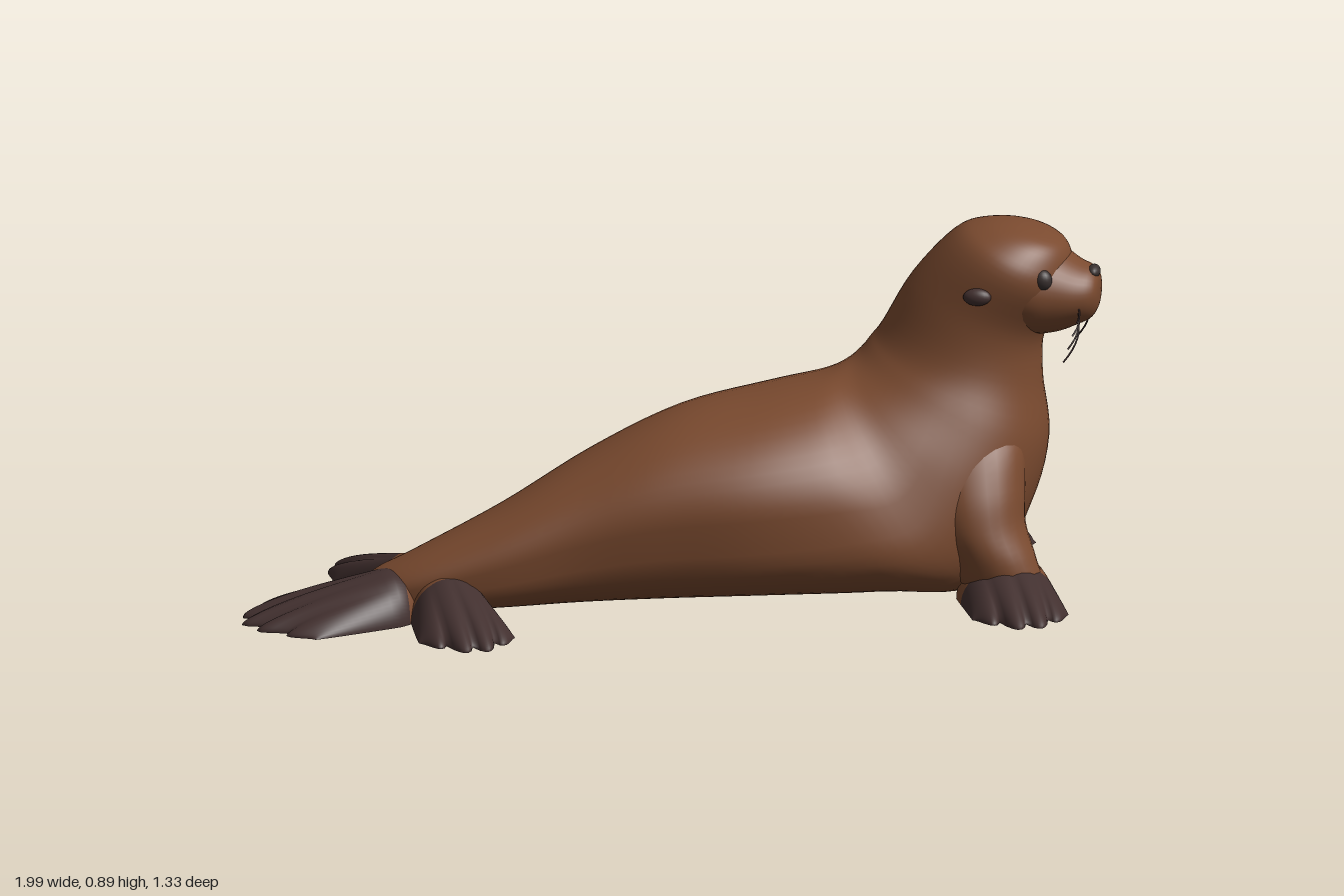
import * as THREE from 'three';

const mat = (name, color) => Object.assign(new THREE.MeshStandardMaterial({ color }), { name });

// Smooth Catmull-Rom blend of section rows
function refine(rows, n) {
  const out = [];
  const at = (i) => rows[Math.max(0, Math.min(rows.length - 1, i))];
  for (let i = 0; i < rows.length - 1; i++) {
    for (let k = 0; k < n; k++) {
      const t = k / n;
      out.push(rows[i].map((b, c) => {
        const a = at(i - 1)[c], d = at(i + 1)[c], e = at(i + 2)[c];
        return b + 0.5 * t * (d - a + t * (2 * a - 5 * b + 4 * d - e + t * (3 * (b - d) + e - a)));
      }));
    }
  }
  out.push(rows[rows.length - 1]);
  return out;
}

// Closed skin over rings: point(i, angle) gives [x, y, z]
function skin(rings, segs, point) {
  const pos = [], idx = [];
  for (let i = 0; i < rings; i++) {
    for (let j = 0; j < segs; j++) pos.push(...point(i, (j / segs) * Math.PI * 2));
  }
  for (let i = 0; i < rings - 1; i++) {
    for (let j = 0; j < segs; j++) {
      const a = i * segs + j, b = i * segs + (j + 1) % segs;
      idx.push(a, a + segs, b, b, a + segs, b + segs);
    }
  }
  const g = new THREE.BufferGeometry();
  g.setAttribute('position', new THREE.Float32BufferAttribute(pos, 3));
  g.setIndex(idx);
  g.computeVertexNormals();
  return g;
}

// Section row: upper point x, y, lower point x, y, centre z, half width, lower roundness
function loft(rows, segs = 40, steps = 5) {
  const s = refine(rows, steps);
  return skin(s.length, segs, (i, t) => {
    const [bx, by, fx, fy, z, w, e] = s[i];
    let v = Math.sin(t);
    if (v < 0) v = -Math.pow(-v, e);
    return [
      (bx + fx) / 2 + v * (bx - fx) / 2,
      Math.max(0.01, (by + fy) / 2 + v * (by - fy) / 2),
      z + w * Math.cos(t),
    ];
  });
}

// Paddle along +x with a flat sole, rounded toes and a furry share at its base
function paddle(length, baseW, tipW, height, toes, furShare) {
  const rings = 28, segs = 72;
  const g = skin(rings, segs, (i, t) => {
    const s = Math.sin((i / (rings - 1)) * Math.PI / 2);
    const u = Math.cos(t), v = Math.sin(t);
    const notch = 1 - Math.pow(Math.abs(Math.sin(Math.PI * toes * (u + 1) / 2)), 0.75);
    const heel = Math.sqrt(1 - Math.max(0, 1 - s / 0.2) ** 2);
    const w = heel * (baseW + (tipW - baseW) * Math.sin(s * Math.PI / 2));
    const h = heel * (height * (1 - s) + 0.03) * Math.sqrt(Math.max(0, 1 - s ** 6)) * (1 - 0.22 * notch * s * s);
    const x = length * s * (1 - s * s * (0.14 * notch * (1 - u ** 4) + 0.3 * u * u));
    return [x, v > 0 ? h * v : 0.006 * v * (1 - s), w * u];
  });
  const split = Math.round((Math.asin(furShare) * 2 / Math.PI) * (rings - 1)) * segs * 6;
  g.addGroup(0, split, 0);
  g.addGroup(split, g.index.count - split, 1);
  return g;
}

export function createModel() {
  const group = new THREE.Group();
  const fur = mat('brown fur', 0x7a4a2f);
  const skinDark = mat('dark flipper skin', 0x42302f);
  const black = mat('dark eye', 0x39302f);
  const add = (name, geometry, material, x = 0, y = 0, z = 0) => {
    const m = new THREE.Mesh(geometry, material);
    m.name = name;
    m.position.set(x, y, z);
    group.add(m);
    return m;
  };

  // Body, neck and crown: sections fan from upright at the tail to level at the head
  add('body', loft([
    [-0.73, 0.06, -0.73, 0.04, 0.28, 0.00, 0.55],
    [-0.69, 0.105, -0.69, 0.01, 0.275, 0.07, 0.55],
    [-0.60, 0.15, -0.60, 0.01, 0.26, 0.12, 0.55],
    [-0.40, 0.25, -0.40, 0.01, 0.18, 0.185, 0.5],
    [-0.20, 0.365, -0.20, 0.01, 0.08, 0.25, 0.5],
    [0.00, 0.455, 0.00, 0.01, 0.00, 0.31, 0.5],
    [0.20, 0.495, 0.24, 0.01, -0.08, 0.36, 0.5],
    [0.33, 0.52, 0.51, 0.01, -0.13, 0.342, 0.55],
    [0.385, 0.54, 0.73, 0.015, -0.175, 0.303, 0.65],
    [0.415, 0.56, 0.83, 0.19, -0.215, 0.278, 0.8],
    [0.44, 0.59, 0.87, 0.35, -0.235, 0.24, 0.9],
    [0.47, 0.63, 0.855, 0.50, -0.24, 0.20, 1],
    [0.54, 0.75, 0.86, 0.61, -0.24, 0.183, 1],
    [0.64, 0.86, 0.92, 0.71, -0.23, 0.174, 1],
    [0.71, 0.888, 0.93, 0.78, -0.228, 0.14, 1],
    [0.79, 0.888, 0.915, 0.835, -0.228, 0.085, 1],
    [0.865, 0.868, 0.865, 0.868, -0.228, 0, 1],
  ], 56, 5), fur);

  // Muzzle
  add('muzzle', loft([
    [0.74, 0.86, 0.74, 0.62, -0.23, 0.155, 1],
    [0.83, 0.865, 0.83, 0.615, -0.23, 0.152, 1],
    [0.895, 0.833, 0.895, 0.622, -0.228, 0.126, 1],
    [0.945, 0.80, 0.945, 0.642, -0.224, 0.1, 1],
    [0.978, 0.785, 0.978, 0.66, -0.222, 0.078, 1],
    [0.995, 0.765, 0.995, 0.69, -0.22, 0.05, 1],
    [0.999, 0.73, 0.999, 0.73, -0.22, 0, 1],
  ], 36), fur);

  const ball = new THREE.SphereGeometry(1, 20, 14);
  const blob = (name, material, p, r) => {
    const m = add(name, ball, material, ...p);
    m.scale.set(...r);
    return m;
  };

  // Nose, eyes and ears
  blob('nose', black, [0.983, 0.774, -0.215], [0.016, 0.016, 0.03]);
  blob('leftEye', black, [0.872, 0.775, -0.108], [0.024, 0.026, 0.022]);
  blob('rightEye', black, [0.872, 0.795, -0.335], [0.024, 0.026, 0.022]);
  blob('leftEar', skinDark, [0.722, 0.742, -0.054], [0.034, 0.021, 0.018]).rotation.x = -0.3;
  blob('rightEar', skinDark, [0.735, 0.785, -0.404], [0.034, 0.021, 0.02]).rotation.x = 0.3;

  // Whiskers
  for (const s of [1, -1]) {
    for (let i = 0; i < 4; i++) {
      const a = new THREE.Vector3(0.955, 0.70 - i * 0.013, -0.222 + s * 0.08);
      const mid = a.clone().add(new THREE.Vector3(0.012, -0.01 - i * 0.008, s * 0.03));
      const end = a.clone().add(new THREE.Vector3(0.005 - i * 0.012, -0.02 - i * 0.022, s * (0.07 - i * 0.01)));
      const path = new THREE.QuadraticBezierCurve3(a, mid, end);
      add('whisker', new THREE.TubeGeometry(path, 6, 0.0022, 5), skinDark);
    }
  }

  // Front limbs: sections run from the shoulder down to the wrist
  add('leftForelimb', loft([
    [0.74, 0.48, 0.60, 0.48, -0.15, 0.04, 1],
    [0.82, 0.39, 0.54, 0.39, -0.12, 0.115, 1],
    [0.835, 0.28, 0.57, 0.28, -0.075, 0.135, 1],
    [0.84, 0.19, 0.61, 0.19, -0.04, 0.125, 1],
    [0.87, 0.11, 0.66, 0.11, -0.01, 0.095, 1],
    [0.88, 0.05, 0.69, 0.05, -0.005, 0.07, 1],
    [0.78, 0.03, 0.78, 0.03, 0, 0, 1],
  ], 28), fur);
  add('rightForelimb', loft([
    [0.65, 0.42, 0.55, 0.42, -0.34, 0.04, 1],
    [0.74, 0.34, 0.47, 0.34, -0.37, 0.11, 1],
    [0.75, 0.22, 0.49, 0.22, -0.405, 0.108, 1],
    [0.75, 0.13, 0.52, 0.13, -0.435, 0.09, 1],
    [0.74, 0.07, 0.54, 0.07, -0.45, 0.075, 1],
    [0.65, 0.03, 0.65, 0.03, -0.45, 0, 1],
  ], 28), fur);

  // Flippers: base x, z, tip x, z, base and tip half widths, height, toes, furry share
  const flippers = [
    ['leftFrontFlipper', 0.765, -0.10, 0.895, 0.27, 0.115, 0.118, 0.10, 4, 0.33],
    ['rightFrontFlipper', 0.62, -0.35, 0.70, -0.665, 0.115, 0.128, 0.09, 4, 0.36],
    ['tailFlipper', -0.58, 0.30, -0.985, 0.475, 0.10, 0.18, 0.10, 5, 0.1],
    ['backHindFlipper', -0.58, 0.235, -0.835, -0.11, 0.06, 0.082, 0.10, 3, 0.24],
    ['frontHindFlipper', -0.525, 0.29, -0.39, 0.66, 0.085, 0.118, 0.10, 4, 0.25],
  ];
  for (const [name, x, z, tx, tz, w0, w1, h, toes, share] of flippers) {
    const length = Math.hypot(tx - x, tz - z);
    const f = add(name, paddle(length, w0, w1, h, toes, share), [fur, skinDark], x, 0.008, z);
    f.rotation.y = Math.atan2(z - tz, tx - x);
  }

  return group;
}
